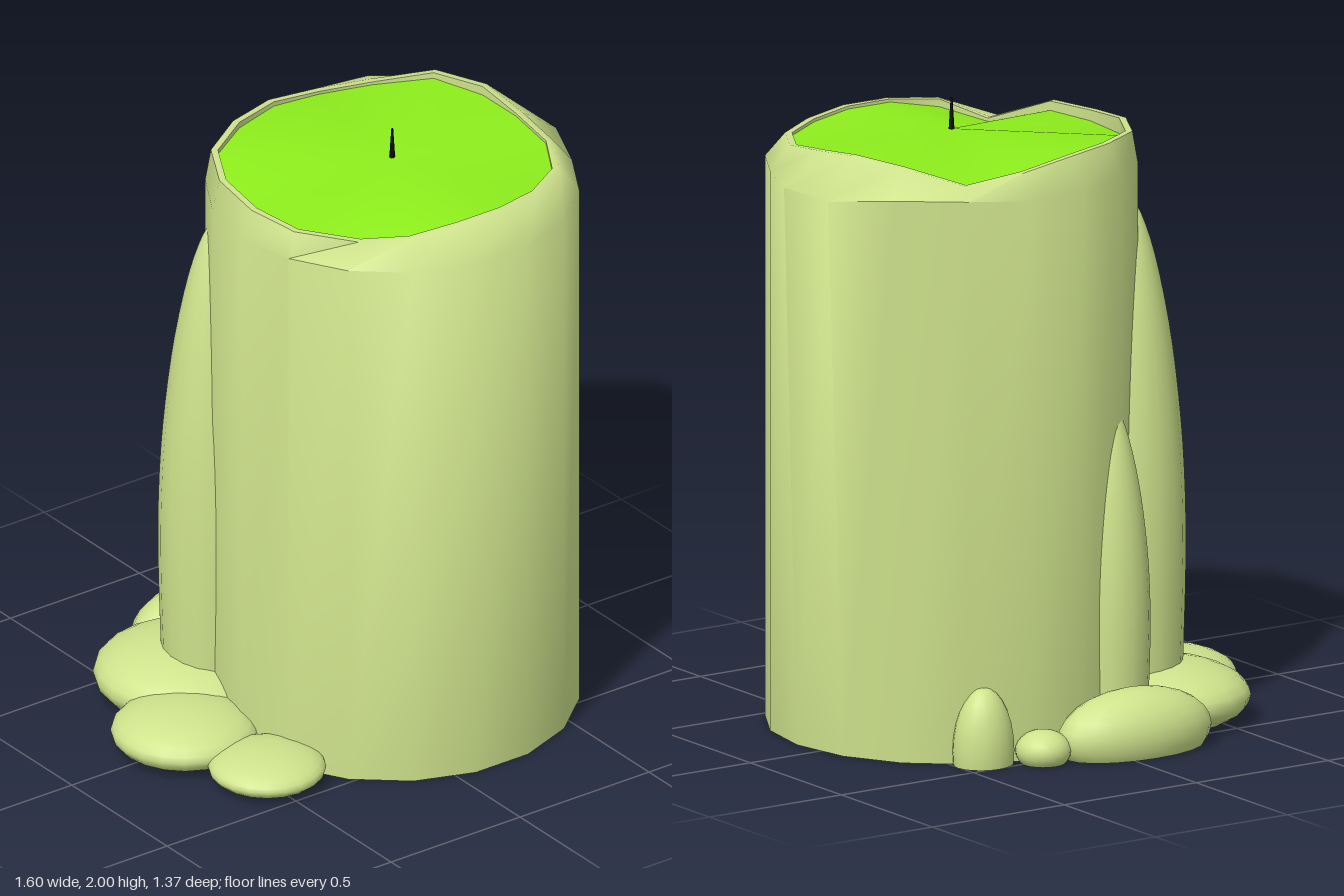
import * as THREE from 'three';
import { toCreasedNormals } from 'three/addons/utils/BufferGeometryUtils.js';

const CX = 0.165, CZ = 0.105, N = 18; // candle axis and number of sides

// Joins rings of N points into a skin; a ring with radius 0 closes the end
function loft(rings, crease) {
  const pos = [], index = [];
  for (const ring of rings) {
    for (let i = 0; i < N; i++) {
      const a = THREE.MathUtils.degToRad(10 + i * 20), [r, y] = ring(i);
      pos.push(CX + r * Math.sin(a), y, CZ + r * Math.cos(a));
    }
  }
  for (let k = 0; k < rings.length - 1; k++) {
    for (let i = 0; i < N; i++) {
      const a = k * N + i, b = k * N + (i + 1) % N;
      if (rings[k](i)[0] > 0) index.push(a, b, b + N);
      if (rings[k + 1](i)[0] > 0) index.push(a, b + N, a + N);
    }
  }
  const g = new THREE.BufferGeometry();
  g.setAttribute('position', new THREE.Float32BufferAttribute(pos, 3));
  g.setIndex(index);
  return toCreasedNormals(g, crease);
}

export function createModel() {
  const group = new THREE.Group();
  const waxMat = new THREE.MeshStandardMaterial({ color: 0xcfe38c, side: THREE.DoubleSide });
  const poolMat = new THREE.MeshStandardMaterial({ color: 0x8eee1c, side: THREE.DoubleSide });
  const wickMat = new THREE.MeshStandardMaterial({ color: 0x0a0a0a });
  const add = (name, geometry, material = waxMat) => {
    const mesh = new THREE.Mesh(geometry, material);
    mesh.name = name;
    group.add(mesh);
    return mesh;
  };

  // Uneven top, listed every 20 degrees from the front round by the left side
  const shoulderR = [.585, .585, .585, .585, .635, .666, .68, .67, .59, .585, .585, .585, .585, .585, .585, .585, .585, .585];
  const rimR = [.46, .475, .5, .5, .48, .51, .55, .57, .52, .51, .52, .545, .54, .525, .53, .425, .48, .46];
  const rimY = [1.89, 1.88, 1.875, 1.88, 1.9, 1.92, 1.91, 1.86, 1.88, 1.905, 1.91, 1.905, 1.9, 1.885, 1.88, 1.83, 1.875, 1.89];
  const poolY = i => Math.min(rimY[i] - 0.01, i > 11 && i < 17 ? 1.85 : 1.89);

  // Candle body with a sloped shoulder and a thin rim
  add('candleBody', loft([
    () => [0, 0],
    () => [0.585, 0],
    i => [shoulderR[i], i > 5 && i < 8 ? 1.83 : 1.8],
    i => [rimR[i] + 0.022, rimY[i]],
    i => [rimR[i], rimY[i]],
    i => [rimR[i], poolY(i) - 0.01],
  ], 0.95));

  // Melted pool and wick
  add('meltedPool', loft([i => [rimR[i], poolY(i)], () => [0, 1.9]], 1), poolMat);
  const wick = add('wick', new THREE.CylinderGeometry(0.003, 0.011, 0.13, 8), wickMat);
  wick.position.set(CX, 1.935, CZ);

  // Long drips running down the back right side
  const profile = [[0, 0], [.9, 0], [.95, .12], [1, .32], [.97, .48], [.87, .62], [.7, .76], [.45, .89], [.2, .97], [0, 1]]
    .map(([r, y]) => new THREE.Vector2(r, y));
  const curve = new THREE.SplineCurve(profile.slice(1)).getPoints(24);
  for (const [x, z, r, h] of [[-.292, -.213, .175, 1.68], [-.115, -.368, .122, 1.08]]) {
    const pts = curve.map(p => new THREE.Vector2(Math.max(p.x, 0) * r, p.y * h));
    add('longDrip', new THREE.LatheGeometry(pts, 20)).position.set(x, 0, z);
  }

  // Hardened puddles at the foot: x, z, radii x/y/z, centre height
  const puddles = [
    [-.49, .335, .185, .06, .185, .05],
    [-.57, .01, .232, .085, .232, .065],
    [-.355, -.265, .295, .115, .3, .085],
    [-.08, -.545, .275, .14, .143, .06],
    [.245, -.515, .088, .065, .088, .04],
    [.41, -.425, .1, .2, .09, .045],
  ];
  for (const [x, z, rx, ry, rz, cy] of puddles) {
    const g = new THREE.SphereGeometry(1, 20, 14);
    g.scale(rx, ry, rz);
    g.translate(x, cy, z);
    // flatten against the floor
    const p = g.attributes.position;
    for (let i = 0; i < p.count; i++) p.setY(i, Math.max(p.getY(i), 0));
    add('waxPuddle', g);
  }
  return group;
}
